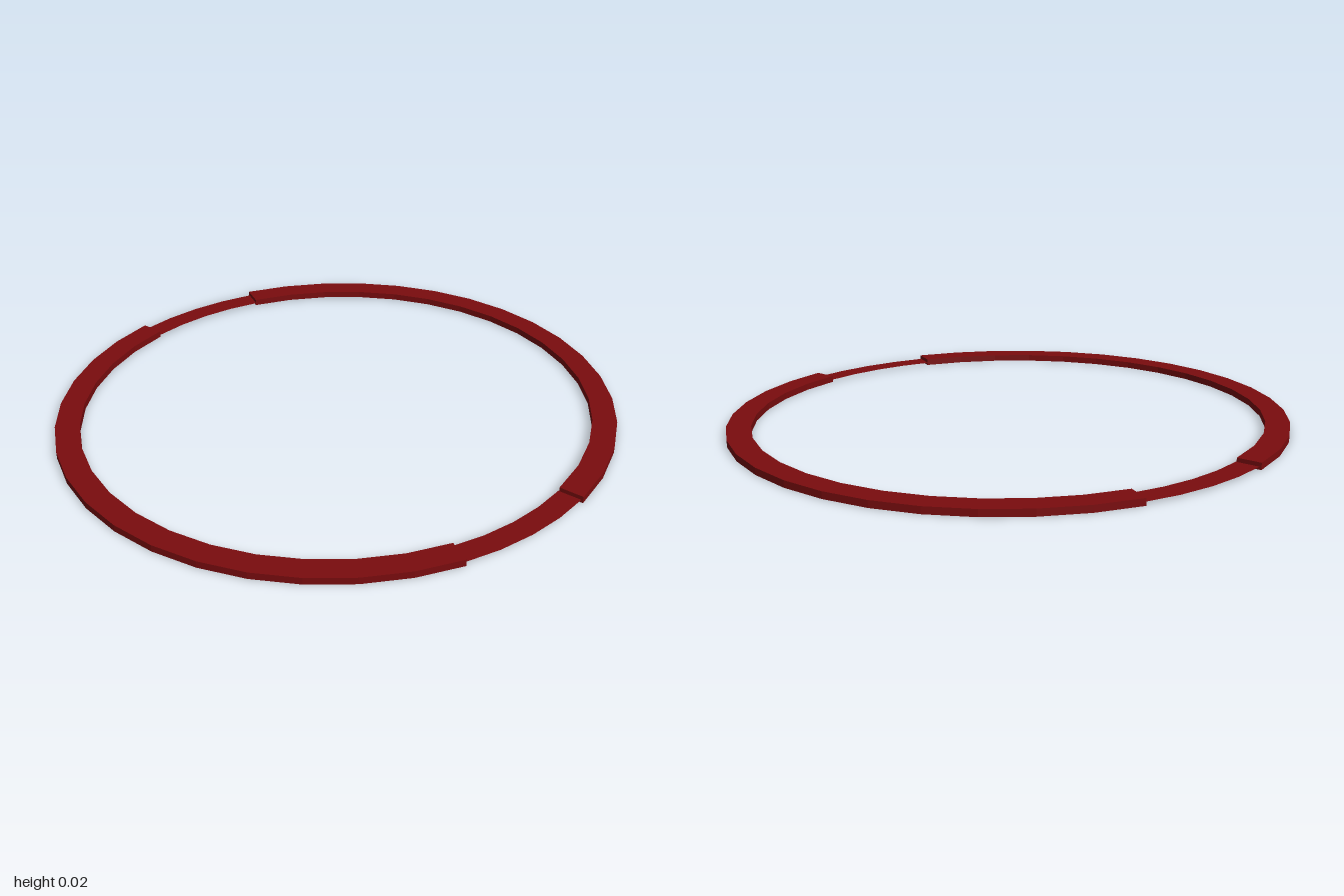
import * as THREE from 'three';

const HEIGHT = 0.024;
const END = THREE.MathUtils.degToRad(75.4);

// Sweeps a radial profile [u, y] along an oval; u = 0 is the inner edge, 1 the outer.
function sweep(profile, from, to, segments, inner, outer, capped) {
  const pos = [], idx = [], n = profile.length;
  for (let i = 0; i <= segments; i++) {
    const t = from + (to - from) * i / segments;
    for (const [u, y] of profile) {
      const a = THREE.MathUtils.lerp(inner[0], outer[0], u);
      const b = THREE.MathUtils.lerp(inner[1], outer[1], u);
      pos.push(a * Math.cos(t), y, b * Math.sin(t));
    }
  }
  for (let i = 0; i < segments; i++) {
    for (let j = 0; j < n - 1; j++) {
      const p = i * n + j, q = p + n;
      idx.push(p, p + 1, q, p + 1, q + 1, q);
    }
  }
  if (capped) {
    const e = segments * n;
    idx.push(0, 2, 1, 0, 3, 2, e, e + 1, e + 2, e, e + 2, e + 3);
  }
  const g = new THREE.BufferGeometry();
  g.setAttribute('position', new THREE.Float32BufferAttribute(pos, 3));
  g.setIndex(idx);
  const flat = g.toNonIndexed();
  flat.computeVertexNormals();
  return flat;
}

export function createModel() {
  const group = new THREE.Group();
  group.name = 'bangle';
  const material = new THREE.MeshStandardMaterial({
    color: 0x7a0c0e, flatShading: true, side: THREE.DoubleSide,
  });

  // Raised side bands: top and two walls, hollow underneath, closed at the ends
  const bandProfile = [[0, 0], [0, HEIGHT], [1, HEIGHT], [1, 0]];
  // Thin flat links joining the bands at front and back
  const linkProfile = [[0, 0.01], [1, 0.01]];

  for (const [side, turn] of [['left', 0], ['right', Math.PI]]) {
    const band = new THREE.Mesh(
      sweep(bandProfile, turn - END, turn + END, 16, [0.915, 0.885], [1, 0.97], true), material);
    band.name = side + 'Band';
    group.add(band);
  }
  for (const [end, turn] of [['front', Math.PI / 2], ['back', -Math.PI / 2]]) {
    const half = Math.PI / 2 - END;
    const link = new THREE.Mesh(
      sweep(linkProfile, turn - half, turn + half, 4, [0.915, 0.882], [1, 0.963], false), material);
    link.name = end + 'Link';
    group.add(link);
  }
  return group;
}
